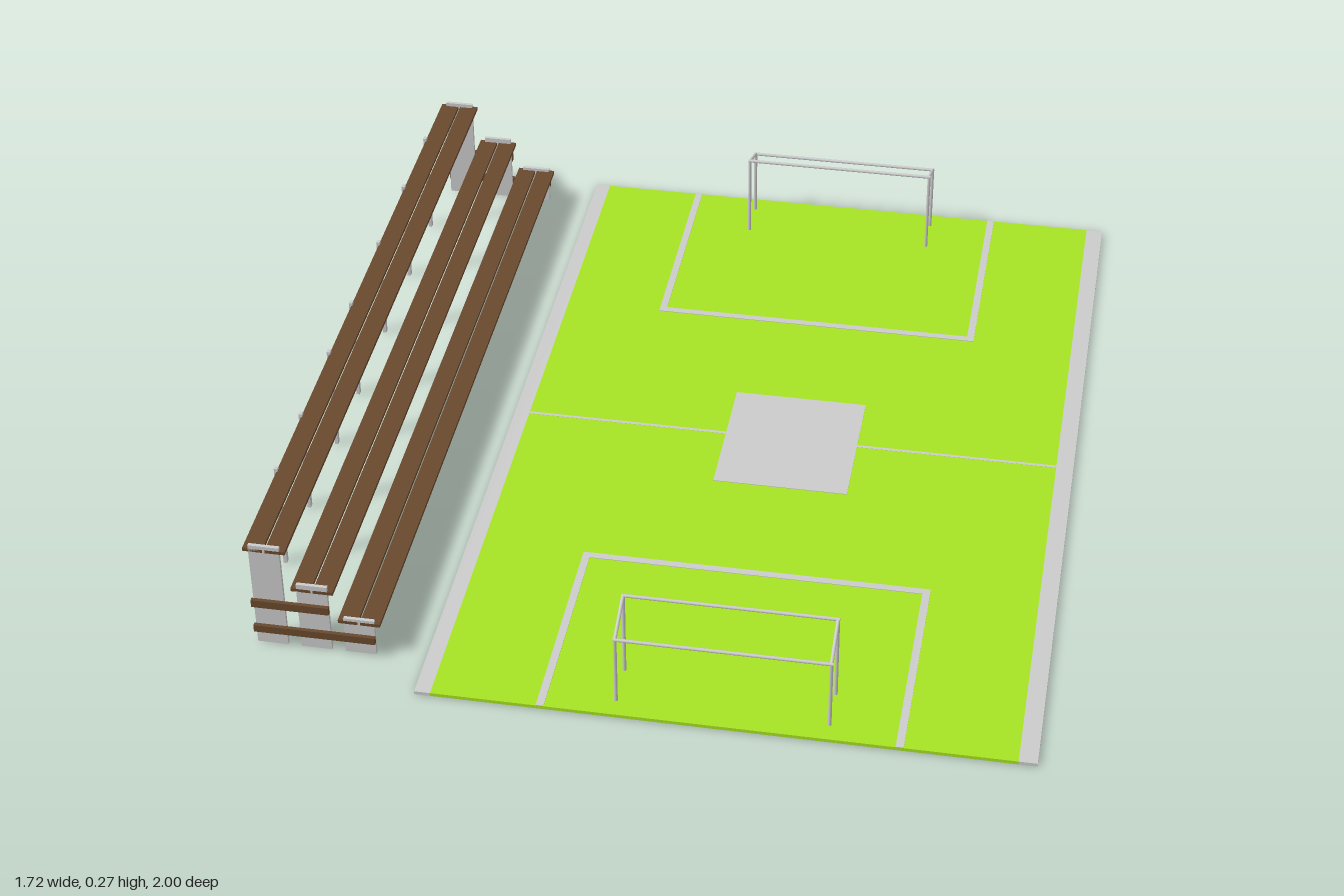
import * as THREE from 'three';

const grey = new THREE.MeshStandardMaterial({ color: 0xcccccc });
const grass = new THREE.MeshStandardMaterial({ color: 0xa6e324 });
const wood = new THREE.MeshStandardMaterial({ color: 0x69492e });

// Box given by its minimum and maximum on each axis
function box(parent, name, mat, [x0, x1], [y0, y1], [z0, z1]) {
  const mesh = new THREE.Mesh(new THREE.BoxGeometry(x1 - x0, y1 - y0, z1 - z0), mat);
  mesh.position.set((x0 + x1) / 2, (y0 + y1) / 2, (z0 + z1) / 2);
  mesh.name = name;
  parent.add(mesh);
}

// Round bar between two points
function bar(parent, name, a, b, r = 0.004) {
  const p = new THREE.Vector3(...a), q = new THREE.Vector3(...b);
  const dir = q.clone().sub(p);
  const mesh = new THREE.Mesh(new THREE.CylinderGeometry(r, r, dir.length(), 10), grey);
  mesh.position.copy(p).add(q).multiplyScalar(0.5);
  mesh.quaternion.setFromUnitVectors(new THREE.Vector3(0, 1, 0), dir.normalize());
  mesh.name = name;
  parent.add(mesh);
}

function createPitch() {
  const g = new THREE.Group();
  g.name = 'pitch';
  const top = 0.008, paint = [0.006, 0.0095];
  // Two halves of turf with a grey strip along each side
  box(g, 'turfBack', grass, [-0.435, 0.82], [0, top], [-1, -0.002]);
  box(g, 'turfFront', grass, [-0.435, 0.82], [0, top], [0.002, 1]);
  box(g, 'leftStrip', grey, [0.82, 0.86], [0, top], [-1, 1]);
  box(g, 'rightStrip', grey, [-0.47, -0.435], [0, top], [-1, 1]);
  // Markings
  box(g, 'halfwayLine', grey, [-0.435, 0.82], [0.001, 0.0085], [-0.004, 0.004]);
  box(g, 'centreSquare', grey, [0.04, 0.352], paint, [-0.16, 0.184]);
  for (const [name, z0, z1, lineZ] of [['back', -1, -0.462, -0.479], ['front', 0.487, 1, 0.487]]) {
    box(g, name + 'BoxLineLeft', grey, [0.563, 0.58], paint, [z0, z1]);
    box(g, name + 'BoxLineRight', grey, [-0.205, -0.188], paint, [z0, z1]);
    box(g, name + 'BoxLineCross', grey, [-0.188, 0.563], paint, [lineZ, lineZ + 0.017]);
  }
  return g;
}

// Goal frame: tall posts toward the pitch, short posts behind
function createGoal(side) {
  const g = new THREE.Group();
  g.name = side > 0 ? 'frontGoal' : 'backGoal';
  const zTall = 0.858 * side, zLow = 0.955 * side, hTall = 0.218, hLow = 0.178;
  for (const x of [-0.04, 0.418]) {
    bar(g, 'tallPost', [x, 0, zTall], [x, hTall, zTall]);
    bar(g, 'shortPost', [x, 0, zLow], [x, hLow, zLow]);
    bar(g, 'slopingBar', [x, hTall, zTall], [x, hLow, zLow]);
  }
  bar(g, 'crossbar', [-0.044, hTall, zTall], [0.422, hTall, zTall]);
  bar(g, 'rearBar', [-0.044, hLow, zLow], [0.422, hLow, zLow]);
  return g;
}

function createBleachers() {
  const g = new THREE.Group();
  g.name = 'bleachers';
  const ends = [[0.882, 0.89], [-0.928, -0.92]];
  // Rows: centre x, seat height, top of the end supports
  for (const [x, seatY, supportTop] of [[-0.812, 0.257, 0.27], [-0.714, 0.158, 0.174], [-0.615, 0.082, 0.093]]) {
    for (const s of [-1, 1]) {
      const c = x + s * 0.0245;
      box(g, 'seatBoard', wood, [c - 0.022, c + 0.022], [seatY - 0.004, seatY + 0.004], [-0.928, 0.89]);
    }
    for (const z of ends) box(g, 'endSupport', grey, [x - 0.034, x + 0.034], [0, supportTop], z);
  }
  // Horizontal braces on the outside of the supports
  for (const z of [[0.89, 0.899], [-0.937, -0.928]]) {
    box(g, 'upperBrace', wood, [-0.85, -0.678], [0.104, 0.123], z);
    box(g, 'lowerBrace', wood, [-0.85, -0.58], [0.034, 0.052], z);
  }
  // Posts along the back of the top row
  for (const z of [0.62, 0.42, 0.18, -0.018, -0.275, -0.525, -0.75])
    box(g, 'rearPost', grey, [-0.864, -0.856], [0, 0.268], [z - 0.006, z + 0.006]);
  return g;
}

export function createModel() {
  const model = new THREE.Group();
  model.name = 'sportsField';
  model.add(createPitch(), createGoal(1), createGoal(-1), createBleachers());
  return model;
}
